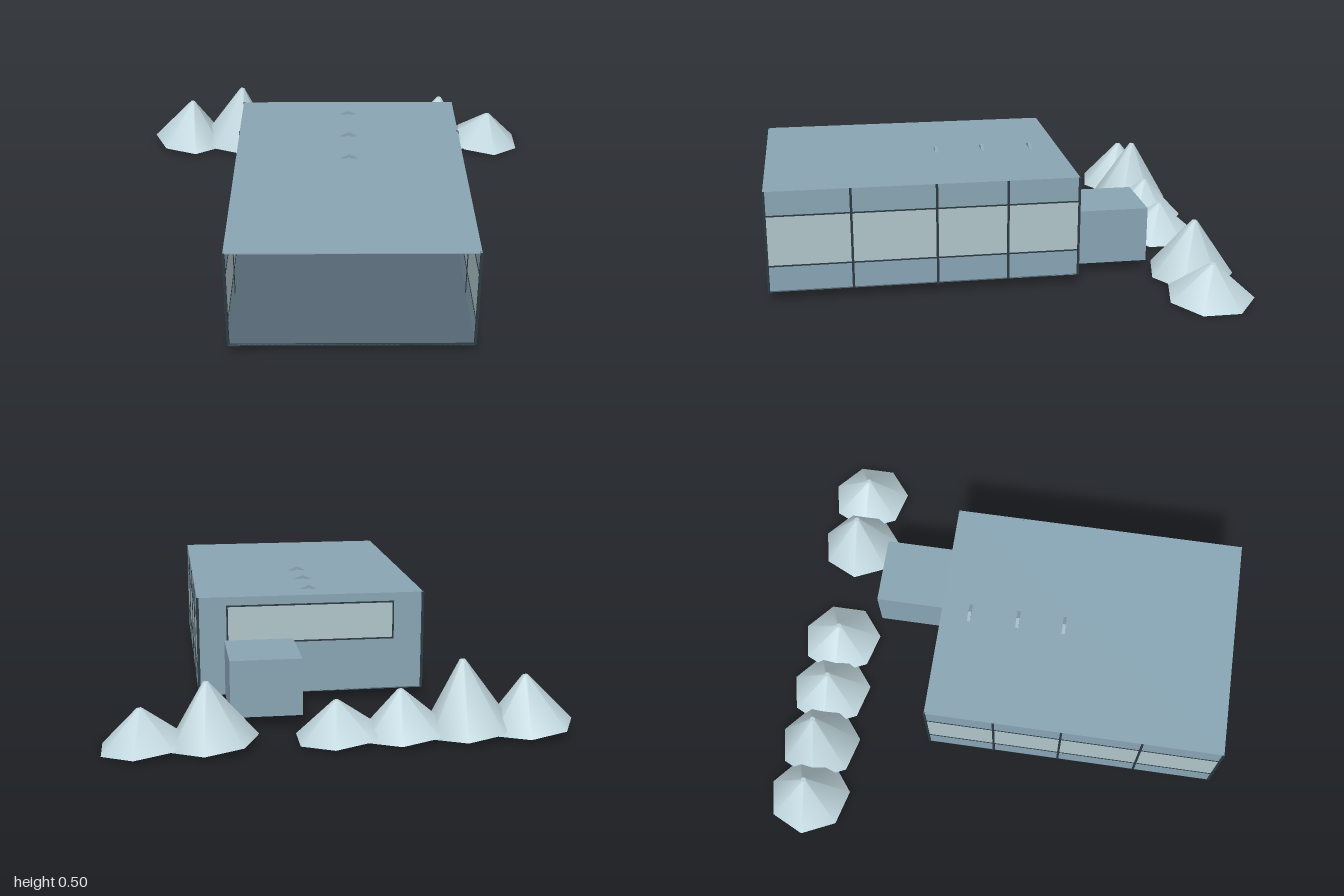
import * as THREE from 'three';

const mat = (name, color, side = THREE.FrontSide) => {
  const m = new THREE.MeshStandardMaterial({ color, side });
  m.name = name;
  return m;
};

export function createModel() {
  const model = new THREE.Group();
  const wall = mat('wall blue', 0x88a4b3);
  const pane = mat('window pale', 0xb0c4ca);
  const rock = mat('pale mound', 0xbfd5dc);
  const floorM = mat('floor slate', 0x566674);
  const dark = mat('dark frame', 0x2b3940);
  const red = mat('red', 0xb04a42);
  const desk = mat('desk slate', 0x4c5f6c);

  const X0 = -0.435, X1 = 0.555, Z0 = -0.312, Z1 = 0.995, Y0 = 0.053, Y1 = 0.487;

  const add = (name, geo, material, parent = model) => {
    const mesh = new THREE.Mesh(geo, material);
    mesh.name = name;
    parent.add(mesh);
    return mesh;
  };
  // box given by its two opposite corners
  const box = (name, m, x0, x1, y0, y1, z0, z1, parent = model) => {
    const b = add(name, new THREE.BoxGeometry(x1 - x0, y1 - y0, z1 - z0), m, parent);
    b.position.set((x0 + x1) / 2, (y0 + y1) / 2, (z0 + z1) / 2);
    return b;
  };
  // rectangular outline of four bars facing z
  const outline = (name, m, x0, x1, y0, y1, z0, z1, t) => {
    const g = new THREE.Group();
    g.name = name;
    box('lowerBar', m, x0, x1, y0, y0 + t, z0, z1, g);
    box('upperBar', m, x0, x1, y1 - t, y1, z0, z1, g);
    box('rightBar', m, x0, x0 + t, y0, y1, z0, z1, g);
    box('leftBar', m, x1 - t, x1, y0, y1, z0, z1, g);
    model.add(g);
  };

  // open-fronted hall
  box('floor', floorM, X0, X1, Y0 - 0.002, Y0 + 0.003, Z0, Z1);
  box('roof', wall, X0, X1, Y1 - 0.004, Y1, Z0, Z1);
  box('floorSeam', dark, X0, X1, 0.042, Y0, 0.285, 0.295);
  box('frontSill', dark, X0, X1, 0.046, Y0 + 0.004, Z1 - 0.004, Z1);

  // side walls: two bands, a window strip and a grid of frame bars
  for (const [side, x, s] of [['right', X0, 1], ['left', X1, -1]]) {
    const g = new THREE.Group();
    g.name = side + 'Wall';
    model.add(g);
    const a = Math.min(x, x + s * 0.005), b = Math.max(x, x + s * 0.005);
    box('lowerBand', wall, a, b, Y0, 0.165, Z0, Z1, g);
    box('windowStrip', pane, a, b, 0.165, 0.38, Z0, Z1, g);
    box('upperBand', wall, a, b, 0.38, Y1, Z0, Z1, g);
    for (const y of [0.165, 0.382])
      box('rail', dark, a - 0.002, b + 0.002, y - 0.003, y + 0.003, Z0, Z1, g);
    for (const z of [0.992, 0.643, 0.29, -0.008, -0.31])
      box('post', dark, a - 0.003, b + 0.003, Y0, Y1, z - 0.005, z + 0.005, g);
  }

  // back wall with its wide window
  const WX0 = -0.305, WX1 = 0.43, WY0 = 0.28, WY1 = 0.45, B = Z0 + 0.006;
  box('backWallBelow', wall, X0, X1, Y0, WY0, Z0, B);
  box('backWallAbove', wall, X0, X1, WY1, Y1, Z0, B);
  box('backWallRight', wall, X0, WX0, WY0, WY1, Z0, B);
  box('backWallLeft', wall, WX1, X1, WY0, WY1, Z0, B);
  box('backWindow', pane, WX0, WX1, WY0, WY1, Z0, B);
  outline('backWindowFrame', dark, WX0, WX1, WY0, WY1, Z0 - 0.001, B + 0.004, 0.007);

  // rear annex
  box('annex', wall, 0.14, 0.44, Y0, 0.295, -0.642, Z0);

  // bent ribs poking through the roof
  const outer = [[-0.434, 0.19], [-0.378, 0.31], [0.058, 0.505], [0.494, 0.315], [0.554, 0.19]];
  const inner = [[0.542, 0.19], [0.485, 0.305], [0.058, 0.492], [-0.369, 0.3], [-0.422, 0.19]];
  const ribShape = new THREE.Shape([...outer, ...inner].map(p => new THREE.Vector2(...p)));
  for (const z of [0.24, 0.032, -0.185]) {
    const rib = add('roofRib', new THREE.ExtrudeGeometry(ribShape, { depth: 0.014, bevelEnabled: false }), wall);
    rib.position.z = z - 0.007;
  }

  // shelf cabinet
  box('cabinet', wall, -0.28, -0.065, Y0, 0.28, B, -0.2);
  outline('cabinetFrame', dark, -0.28, -0.065, Y0, 0.28, -0.2, -0.196, 0.006);
  for (const y of [0.222, 0.163, 0.105])
    box('shelfLine', dark, -0.28, -0.065, y - 0.003, y + 0.003, -0.2, -0.196);

  // doorway with a red lintel
  box('door', wall, 0.23, 0.35, Y0, 0.24, B, B + 0.006);
  outline('doorFrame', dark, 0.225, 0.355, Y0, 0.247, B, B + 0.012, 0.007);
  box('doorLintel', red, 0.228, 0.352, 0.238, 0.248, B, B + 0.016);
  outline('doorStep', dark, 0.237, 0.343, Y0, 0.117, B, B + 0.014, 0.004);

  // louvred panel
  box('louvrePanel', pane, 0.39, 0.475, 0.105, 0.245, B, B + 0.008);
  outline('louvreFrame', dark, 0.388, 0.477, 0.103, 0.247, B, B + 0.012, 0.005);
  for (let i = 0; i < 5; i++)
    box('louvre', dark, 0.402 + i * 0.002, 0.464 - i * 0.002, 0.137 + i * 0.014, 0.144 + i * 0.014, B, B + 0.012);

  // low desk with red ends
  box('desk', desk, -0.022, 0.138, Y0, 0.106, 0.08, 0.16);
  for (const x of [-0.045, 0.163]) {
    box('deskEnd', red, x - 0.006, x + 0.006, 0.06, 0.1, 0.08, 0.16);
    box('deskFoot', red, x - 0.01, x + 0.01, 0.05, 0.062, 0.11, 0.13);
  }
  box('deskBase', dark, -0.055, 0.173, Y0, 0.06, 0.09, 0.15);

  // reel on the back wall
  const reel = new THREE.Group();
  reel.name = 'reel';
  reel.position.set(-0.325, 0.255, B + 0.015);
  model.add(reel);
  add('reelRim', new THREE.TorusGeometry(0.035, 0.008, 8, 20), red, reel);
  add('reelDisc', new THREE.CylinderGeometry(0.024, 0.024, 0.02, 16).rotateX(Math.PI / 2), red, reel);
  add('reelGroove', new THREE.CylinderGeometry(0.034, 0.034, 0.012, 16).rotateX(Math.PI / 2), dark, reel);

  // wall lamps
  for (const x of [-0.335, 0.45]) {
    box('lamp', red, x - 0.006, x + 0.006, 0.305, 0.365, B, B + 0.02);
    box('lampBracket', dark, x - 0.003, x + 0.003, 0.295, 0.375, B, B + 0.01);
  }

  // winding red hose, then jointed sleeves
  const HZ = -0.25;
  const hose = new THREE.CatmullRomCurve3([[-0.225, 0.335], [-0.155, 0.345], [-0.1, 0.373], [-0.055, 0.408]]
    .map(p => new THREE.Vector3(p[0], p[1], HZ)));
  add('hose', new THREE.TubeGeometry(hose, 16, 0.013, 8), red);
  const joints = [[-0.06, 0.415], [0, 0.433], [0.055, 0.447], [0.115, 0.436], [0.18, 0.412]];
  for (let i = 0; i < 4; i++) {
    const a = new THREE.Vector2(...joints[i]), d = new THREE.Vector2(...joints[i + 1]).sub(a);
    const s = add('hoseSleeve', new THREE.CylinderGeometry(0.014, 0.016, d.length() * 0.97, 10), red);
    s.position.set(a.x + d.x / 2, a.y + d.y / 2, HZ);
    s.rotation.z = d.angle() - Math.PI / 2;
  }

  // row of tilted seven-sided mounds behind: centre x, apex height
  const mounds = [[-0.766, 0.245], [-0.511, 0.32], [-0.248, 0.205], [0.015, 0.17], [0.521, 0.267], [0.79, 0.17]];
  mounds.forEach(([x, top], i) => {
    const base = 0.032 - i * 0.002, h = top - base;
    const geo = new THREE.CylinderGeometry(0.012, 0.185, h, 7);
    geo.rotateY(-Math.PI / 2).translate(0, h / 2, 0);
    const m = add('mound', geo, rock);
    m.position.set(x, base, -0.82);
    m.rotation.z = -0.1;
  });

  return model;
}
